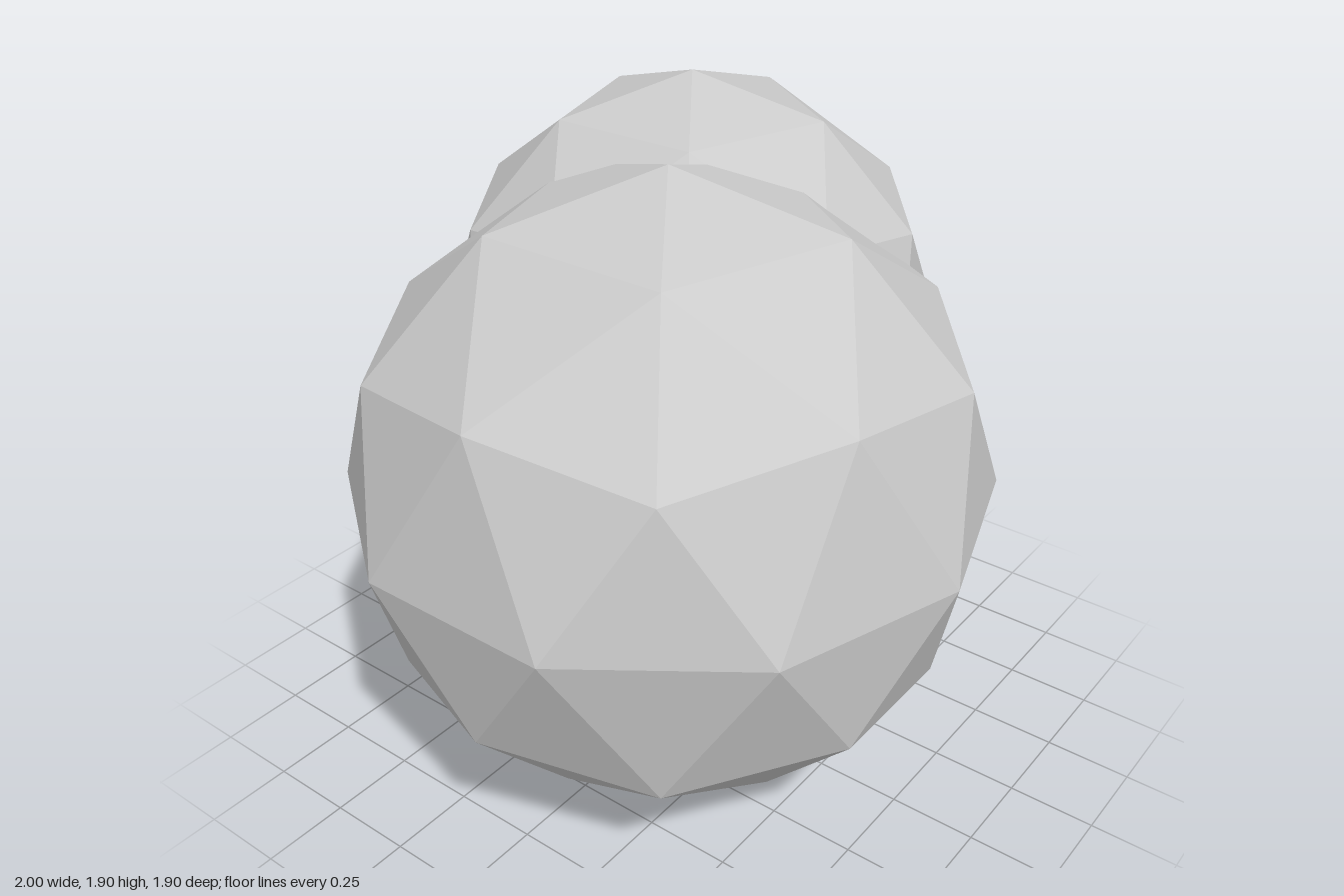
import * as THREE from 'three';

const material = new THREE.MeshStandardMaterial({ color: 0xcccccc, flatShading: true });

// Low-poly ball with one vertex straight up and an upper-ring vertex toward +x
function makeBall(name, radius, x, y, z) {
  const geometry = new THREE.IcosahedronGeometry(radius, 1);
  const phi = (1 + Math.sqrt(5)) / 2;
  geometry.rotateZ(-Math.atan(1 / phi));
  const ball = new THREE.Mesh(geometry, material);
  ball.name = name;
  ball.position.set(x, y, z);
  return ball;
}

export function createModel() {
  const group = new THREE.Group();
  group.name = 'fusedBalls';
  // Large ball resting on the ground, smaller one merged into its upper back left
  group.add(makeBall('largeBall', 0.905, -0.14, 0.905, 0.043));
  group.add(makeBall('smallBall', 0.722, 0.312, 1.178, -0.226));
  return group;
}
